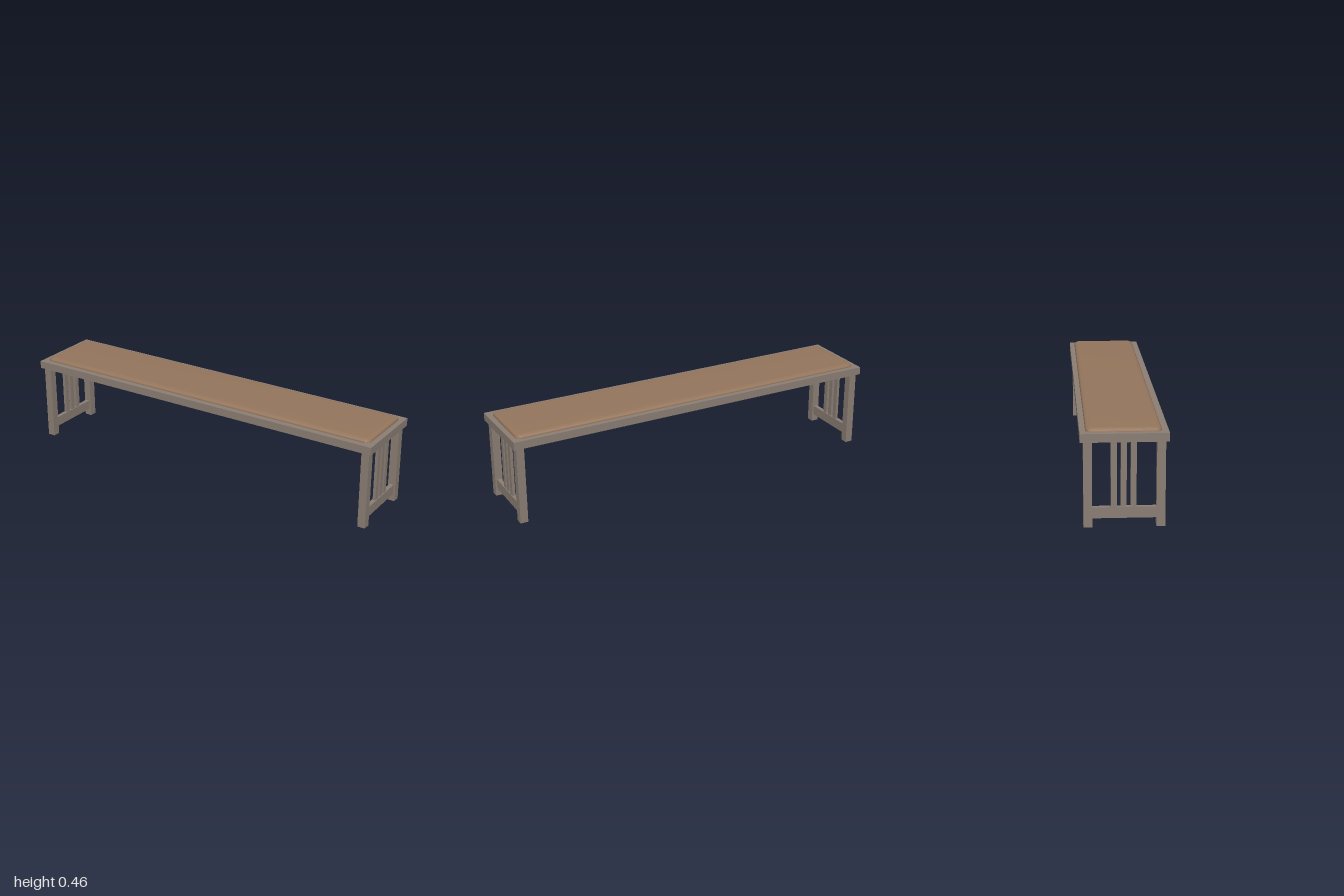
import * as THREE from 'three';
import { toCreasedNormals } from 'three/addons/utils/BufferGeometryUtils.js';

const frameMaterial = new THREE.MeshStandardMaterial({ color: 0x8a7e74 });
frameMaterial.name = 'greyBrownWood';
const padMaterial = new THREE.MeshStandardMaterial({ color: 0x94755c });
padMaterial.name = 'tanLeather';

function box(parent, name, size, position) {
  const mesh = new THREE.Mesh(new THREE.BoxGeometry(...size), frameMaterial);
  mesh.name = name;
  mesh.position.set(...position);
  parent.add(mesh);
}

// Rounded rectangle outline centred on the origin
function roundedRect(w, d, r) {
  const x = w / 2, y = d / 2;
  const s = new THREE.Shape();
  s.moveTo(-x + r, -y);
  s.lineTo(x - r, -y);
  s.absarc(x - r, -y + r, r, -Math.PI / 2, 0);
  s.lineTo(x, y - r);
  s.absarc(x - r, y - r, r, 0, Math.PI / 2);
  s.lineTo(-x + r, y);
  s.absarc(-x + r, y - r, r, Math.PI / 2, Math.PI);
  s.lineTo(-x, -y + r);
  s.absarc(-x + r, -y + r, r, Math.PI, Math.PI * 1.5);
  return s;
}

// Cushion with a soft upper edge; its lower half is sunk into the seat board
function createPad() {
  const bevel = 0.027, rise = 0.018;
  const geometry = new THREE.ExtrudeGeometry(roundedRect(1.948, 0.344, 0.03), {
    depth: 0.001, curveSegments: 6,
    bevelEnabled: true, bevelSize: bevel, bevelOffset: -bevel,
    bevelThickness: rise, bevelSegments: 6,
  });
  geometry.rotateX(-Math.PI / 2);
  const pad = new THREE.Mesh(toCreasedNormals(geometry, 0.7), padMaterial);
  pad.name = 'seatPad';
  pad.position.set(0, 0.439, -0.002);
  return pad;
}

export function createModel() {
  const bench = new THREE.Group();
  bench.name = 'bench';

  box(bench, 'seatBoard', [2, 0.04, 0.4], [0, 0.421, 0]);
  bench.add(createPad());

  // One end frame on each side: two legs, a low rail and three slats
  for (const side of [-1, 1]) {
    const end = new THREE.Group();
    end.name = side > 0 ? 'leftEndFrame' : 'rightEndFrame';
    end.position.x = side * 0.965;
    box(end, 'frontLeg', [0.04, 0.401, 0.04], [0, 0.2005, 0.165]);
    box(end, 'backLeg', [0.04, 0.401, 0.04], [0, 0.2005, -0.165]);
    box(end, 'lowerRail', [0.022, 0.052, 0.29], [0, 0.065, 0]);
    for (let i = -1; i <= 1; i++) {
      box(end, 'slat', [0.015, 0.31, 0.027], [0, 0.246, -0.003 + i * 0.0447]);
    }
    bench.add(end);
  }
  return bench;
}
